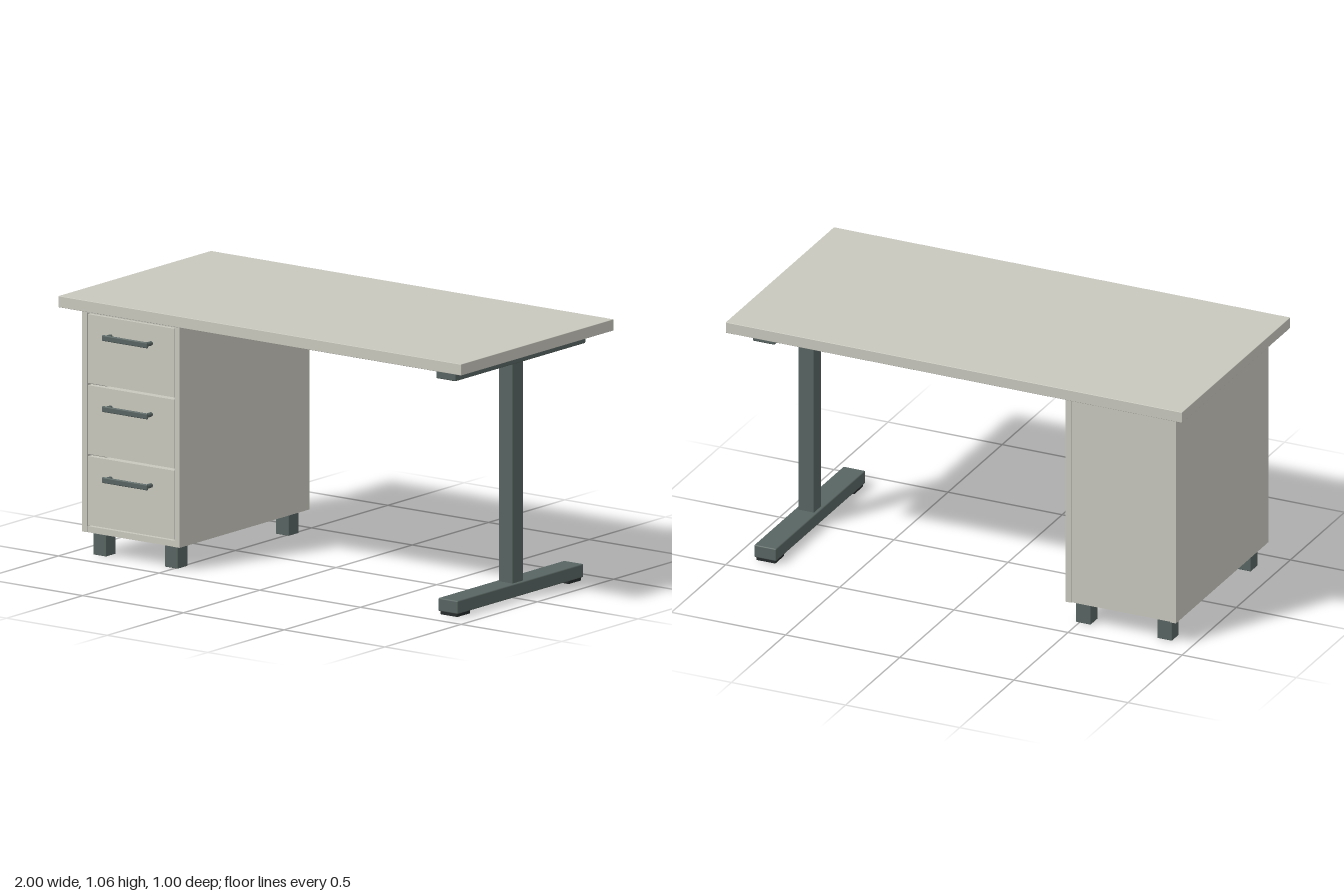
import * as THREE from 'three';
import { RoundedBoxGeometry } from 'three/addons/geometries/RoundedBoxGeometry.js';

const paint = (color) => new THREE.MeshStandardMaterial({ color });

export function createModel() {
  const desk = new THREE.Group();
  desk.name = 'desk';
  const laminate = paint(0xc9c8be);
  const steel = paint(0x586562);
  const rubber = paint(0x262a2a);

  // Box given by its limits on each axis; a radius softens the edges
  function box(parent, name, material, [x0, x1], [y0, y1], [z0, z1], radius = 0) {
    const size = [x1 - x0, y1 - y0, z1 - z0];
    const geometry = radius
      ? new RoundedBoxGeometry(...size, 2, radius)
      : new THREE.BoxGeometry(...size);
    const mesh = new THREE.Mesh(geometry, material);
    mesh.position.set((x0 + x1) / 2, (y0 + y1) / 2, (z0 + z1) / 2);
    mesh.name = name;
    parent.add(mesh);
    return mesh;
  }

  function group(name) {
    const g = new THREE.Group();
    g.name = name;
    desk.add(g);
    return g;
  }

  // Worktop
  box(desk, 'worktop', laminate, [-1, 1], [1.01, 1.056], [-0.5, 0.5], 0.002);

  // Cabinet carcass
  const cabinet = group('cabinet');
  const depth = [-0.427, 0.427];
  const inner = [-0.913, -0.479];
  box(cabinet, 'rightSidePanel', laminate, [-0.938, -0.913], [0.095, 1.01], depth);
  box(cabinet, 'leftSidePanel', laminate, [-0.479, -0.454], [0.095, 1.01], depth);
  box(cabinet, 'topPanel', laminate, inner, [0.985, 1.01], [-0.422, 0.425]);
  box(cabinet, 'bottomPanel', laminate, inner, [0.095, 0.12], [-0.422, 0.425]);
  box(cabinet, 'backPanel', laminate, inner, [0.12, 0.985], [-0.422, -0.405]);

  // Drawers, each with a box body, a front and a bar handle
  for (let i = 0; i < 3; i++) {
    const y = 0.125 + i * 0.2885;
    const drawer = new THREE.Group();
    drawer.name = 'drawer' + (i + 1);
    cabinet.add(drawer);
    box(drawer, 'drawerBody', laminate, [-0.9, -0.492], [y + 0.015, y + 0.255], [-0.39, 0.4]);
    box(drawer, 'drawerFront', laminate, [-0.909, -0.483], [y, y + 0.279], [0.4, 0.425]);
    const h = y + 0.204;
    box(drawer, 'handleBar', steel, [-0.809, -0.583], [h - 0.012, h + 0.012], [0.459, 0.469], 0.0045);
    for (const x of [-0.796, -0.596]) {
      const post = new THREE.Mesh(new THREE.CylinderGeometry(0.009, 0.009, 0.04, 16), steel);
      post.rotation.x = Math.PI / 2;
      post.position.set(x, h, 0.443);
      post.name = 'handlePost';
      drawer.add(post);
    }
  }

  // Cabinet feet
  for (const x of [-0.874, -0.518])
    for (const z of [-0.364, 0.364])
      box(cabinet, 'cabinetFoot', steel, [x - 0.032, x + 0.032], [0, 0.095], [z - 0.032, z + 0.032], 0.002);

  // T-shaped leg frame
  const frame = group('legFrame');
  box(frame, 'topRail', steel, [0.82, 0.917], [0.961, 1.01], [-0.427, 0.427], 0.005);
  box(frame, 'column', steel, [0.834, 0.903], [0.064, 0.964], [-0.035, 0.035], 0.003);
  box(frame, 'footRail', steel, [0.82, 0.917], [0.013, 0.067], [-0.413, 0.413], 0.005);
  for (const z of [-0.365, 0.365])
    box(frame, 'footPad', rubber, [0.827, 0.91], [0, 0.014], [z - 0.041, z + 0.041]);

  return desk;
}
